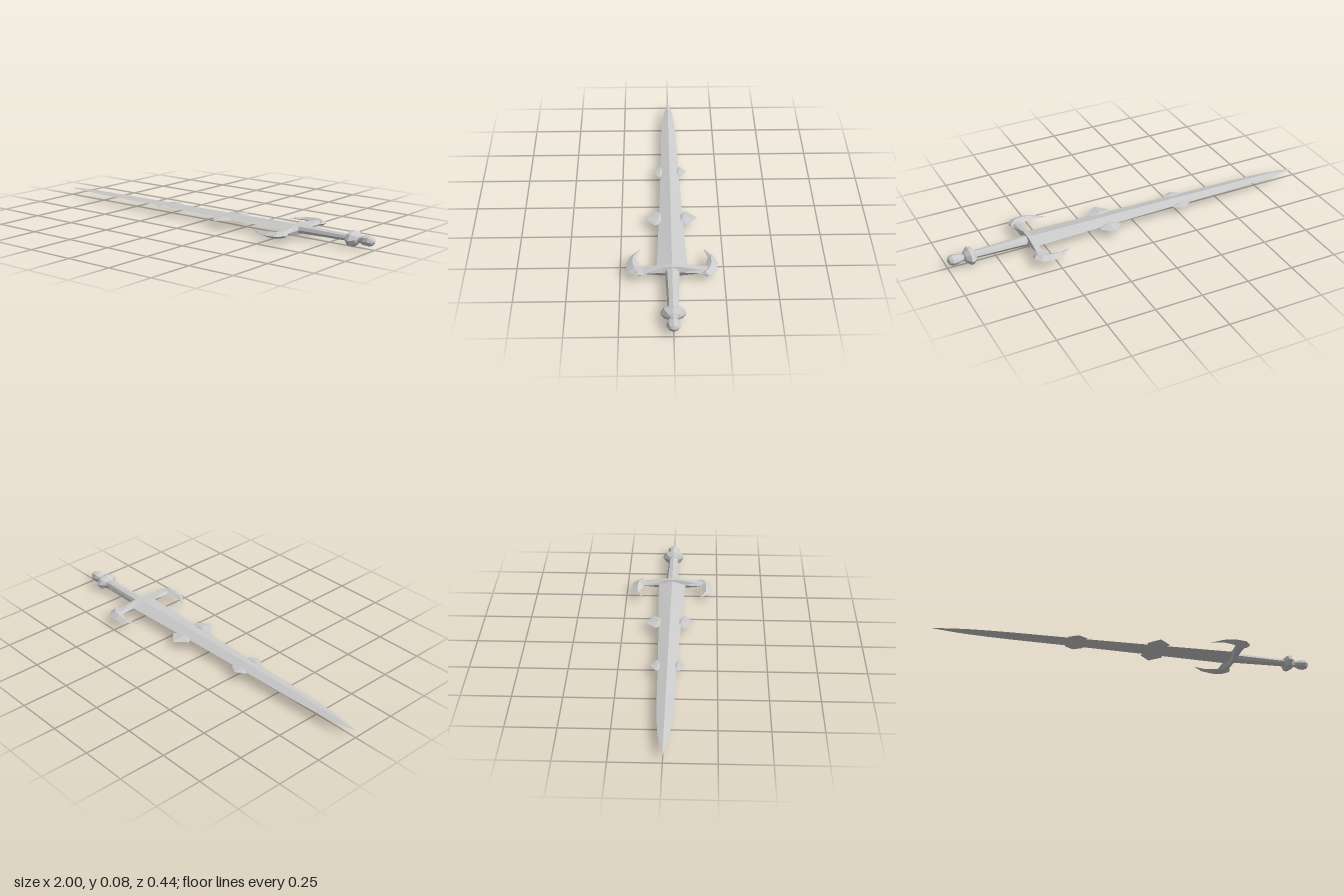
import * as THREE from 'three';

const MID = 0.04; // height of the sword's centre plane
const material = new THREE.MeshStandardMaterial({ color: 0xcccccc, flatShading: true });

// Faceted mesh from a list of triangles, turned so that the faces point outwards
function facetMesh(name, tris) {
  const volume = tris.reduce((v, [a, b, c]) => v + a.dot(b.clone().cross(c)), 0);
  const points = tris.flatMap(([a, b, c]) => (volume < 0 ? [a, c, b] : [a, b, c]));
  const geometry = new THREE.BufferGeometry().setFromPoints(points);
  geometry.computeVertexNormals();
  const mesh = new THREE.Mesh(geometry, material);
  mesh.name = name;
  return mesh;
}

// Skin a row of equally sized rings and close both ends
function loft(name, rings) {
  const tris = [];
  const n = rings[0].length;
  for (let i = 0; i < rings.length - 1; i++) {
    for (let j = 0; j < n; j++) {
      const k = (j + 1) % n;
      const [a, b, c, d] = [rings[i][j], rings[i][k], rings[i + 1][k], rings[i + 1][j]];
      tris.push([a, b, c], [a, c, d]);
    }
  }
  const first = rings[0], last = rings[rings.length - 1];
  for (let j = 1; j < n - 1; j++) {
    tris.push([first[0], first[j + 1], first[j]], [last[0], last[j], last[j + 1]]);
  }
  return facetMesh(name, tris);
}

const P = (x, y, z) => new THREE.Vector3(x, y, z);

// Elliptical ring around the x axis
function ring(x, ry, rz, sides) {
  return Array.from({ length: sides }, (_, i) => {
    const a = (i / sides) * Math.PI * 2;
    return P(x, ry * Math.sin(a), rz * Math.cos(a));
  });
}
const along = (name, sides, rows) => loft(name, rows.map(([x, ry, rz]) => ring(x, ry, rz, sides)));

// Flat spike with a raised middle and a sharp rim
function spike(name, rim, centre, h) {
  const tris = [];
  const top = P(centre[0], h, centre[1]), bottom = P(centre[0], -h, centre[1]);
  rim.forEach(([x, z], i) => {
    const [x2, z2] = rim[(i + 1) % rim.length];
    tris.push([P(x, 0, z), P(x2, 0, z2), top], [P(x2, 0, z2), P(x, 0, z), bottom]);
  });
  return facetMesh(name, tris);
}

export function createModel() {
  const sword = new THREE.Group();
  sword.name = 'sword';
  const body = new THREE.Group();
  body.name = 'swordBody';
  body.position.y = MID;
  sword.add(body);

  // Diamond-section blade: x, half thickness, half width
  body.add(along('blade', 4, [
    [-1, 0.0005, 0.0005], [-0.92, 0.005, 0.016], [-0.83, 0.009, 0.029], [-0.72, 0.011, 0.037],
    [-0.6, 0.012, 0.042], [-0.27, 0.014, 0.048], [0.15, 0.016, 0.06], [0.57, 0.018, 0.075],
  ]));

  // Curved guard arm: z, rear x, front x, half height
  body.add(loft('guardBar', [
    [-0.175, 0.54, 0.605, 0.011], [-0.14, 0.543, 0.6, 0.011], [-0.045, 0.553, 0.592, 0.025],
    [0, 0.553, 0.592, 0.028],
    [0.045, 0.553, 0.592, 0.025], [0.14, 0.543, 0.6, 0.011], [0.175, 0.54, 0.605, 0.011],
  ].map(([z, x0, x1, h]) => {
    const m = (x0 + x1) / 2, q = (x1 - x0) / 4;
    return [P(x0, 0, z), P(m - q, h, z), P(m + q, h, z), P(x1, 0, z), P(m + q, -h, z), P(m - q, -h, z)];
  })));

  for (const s of [1, -1]) {
    const side = s > 0 ? 'Front' : 'Back';

    // Crescent horn: outer x, outer z, inner x, inner z, half height
    body.add(loft('guardHorn' + side, [
      [0.606, 0.14, 0.598, 0.138, 0.002], [0.615, 0.175, 0.587, 0.145, 0.012],
      [0.583, 0.213, 0.56, 0.148, 0.016], [0.525, 0.222, 0.535, 0.158, 0.015],
      [0.465, 0.204, 0.48, 0.173, 0.008], [0.41, 0.155, 0.412, 0.156, 0.0005],
    ].map(([ox, oz, ix, iz, h]) => {
      const mx = (ox + ix) / 2, mz = (oz + iz) / 2;
      return [P(ox, 0, s * oz), P(mx, h, s * mz), P(ix, 0, s * iz), P(mx, -h, s * mz)];
    })));

    // Two spikes on each blade edge
    body.add(spike('largeSpike' + side, [
      [0.11, 0.045], [0.093, 0.077], [0.15, 0.134], [0.213, 0.079], [0.192, 0.045],
    ].map(([x, z]) => [x, s * z]), [0.15, s * 0.06], 0.009));
    body.add(spike('smallSpike' + side, [
      [-0.3, 0.035], [-0.318, 0.056], [-0.267, 0.087], [-0.215, 0.058], [-0.235, 0.035],
    ].map(([x, z]) => [x, s * z]), [-0.267, s * 0.048], 0.007));
  }

  // Grip, collar and pommel: x, half height, half width
  body.add(along('grip', 8, [[0.57, 0.023, 0.036], [0.61, 0.022, 0.034], [0.75, 0.019, 0.029], [0.88, 0.017, 0.025]]));
  body.add(along('collar', 8, [
    [0.855, 0.019, 0.028], [0.873, 0.038, 0.058], [0.889, 0.04, 0.061], [0.91, 0.024, 0.036], [0.918, 0.014, 0.018],
  ]));
  body.add(along('pommel', 8, [
    [0.9, 0.016, 0.02], [0.925, 0.016, 0.02], [0.952, 0.025, 0.031], [0.975, 0.026, 0.033],
    [0.99, 0.019, 0.024], [1, 0.001, 0.001],
  ]));

  return sword;
}
